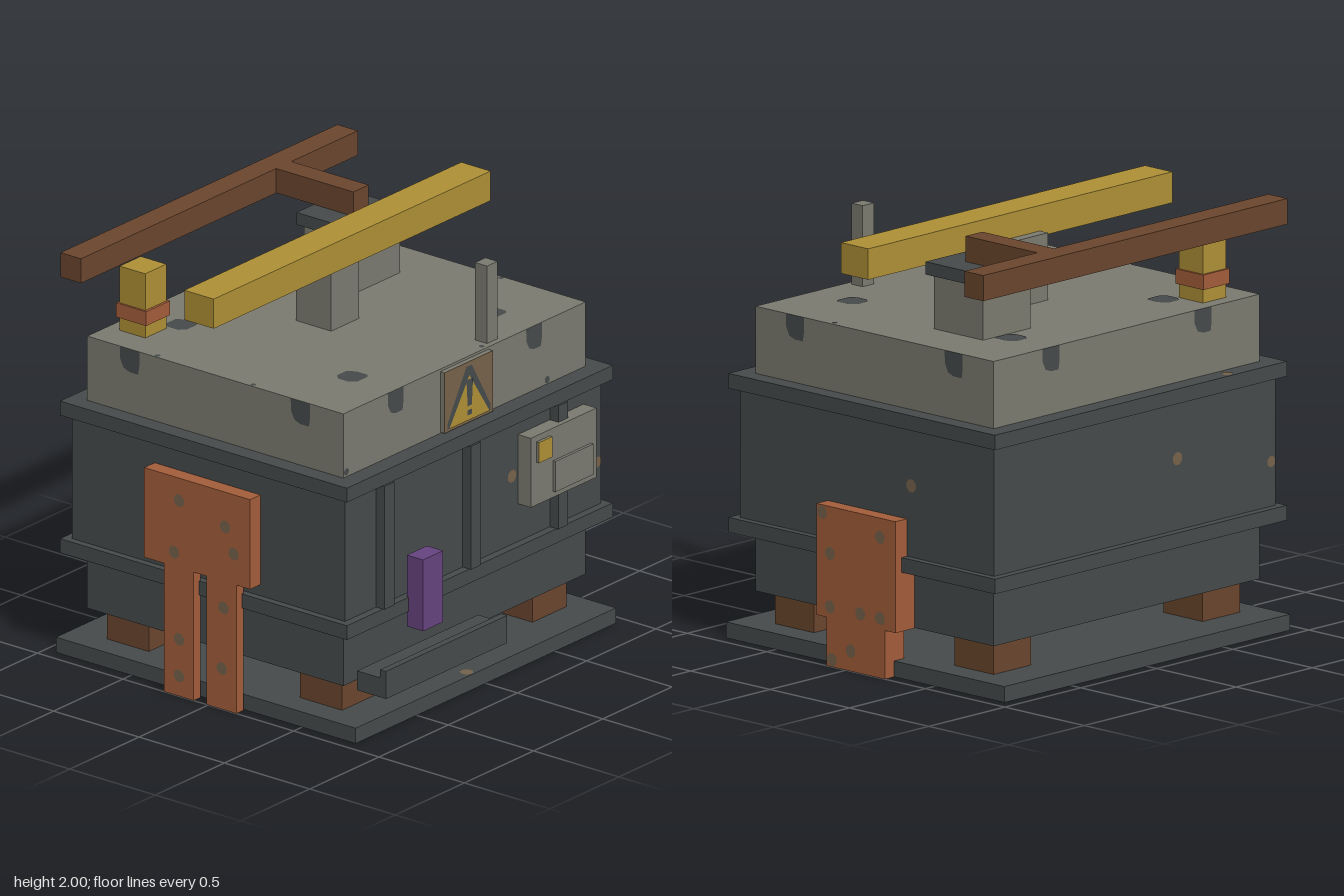
import * as THREE from 'three';

const mat = (name, color) => {
  const m = new THREE.MeshStandardMaterial({ color });
  m.name = name;
  return m;
};

export function createModel() {
  const model = new THREE.Group();
  model.name = 'transformerUnit';
  const dark = mat('darkSteel', 0x454a4a);
  const grey = mat('paleMetal', 0x7a7a70);
  const yellow = mat('yellowPaint', 0xad8f35);
  const brown = mat('brownWood', 0x6a452d);
  const orange = mat('rustOrange', 0xa35d3a);
  const purple = mat('purplePaint', 0x66437f);
  const stain = mat('rustStain', 0x75624a);

  // Box given by its min and max on each axis
  const box = (name, m, x0, x1, y0, y1, z0, z1) => {
    const mesh = new THREE.Mesh(new THREE.BoxGeometry(x1 - x0, y1 - y0, z1 - z0), m);
    mesh.position.set((x0 + x1) / 2, (y0 + y1) / 2, (z0 + z1) / 2);
    mesh.name = name;
    model.add(mesh);
    return mesh;
  };

  // Flat outline laid on a face; [rx, ry] turns it from +z to that side
  const SIDES = {
    front: [0, 0], back: [0, Math.PI], right: [0, Math.PI / 2],
    left: [0, -Math.PI / 2], top: [-Math.PI / 2, 0],
  };
  const decal = (name, m, side, pts, x, y, z) => {
    const shape = new THREE.Shape(pts.map(([a, b]) => new THREE.Vector2(a, b)));
    const mesh = new THREE.Mesh(new THREE.ShapeGeometry(shape), m);
    mesh.rotation.set(SIDES[side][0], SIDES[side][1], 0);
    mesh.position.set(x, y, z);
    mesh.name = name;
    model.add(mesh);
  };
  const octagon = (r) => Array.from({ length: 8 }, (_, i) => {
    const a = (i + 0.5) * Math.PI / 4;
    return [r * Math.cos(a), r * Math.sin(a)];
  });

  // Base and feet
  box('baseSlab', dark, -0.94, 0.94, 0, 0.075, -0.94, 0.815);
  for (const s of [-1, 1]) {
    for (const z of [0.507, -0.625]) {
      box('foot', brown, s * 0.6875 - 0.1225, s * 0.6875 + 0.1225, 0.075, 0.23, z - 0.123, z + 0.123);
    }
  }

  // Main body with flanges
  box('lowerBody', dark, -0.875, 0.875, 0.23, 0.505, -0.81, 0.69);
  box('lowerFlange', dark, -0.96, 0.96, 0.505, 0.575, -0.9, 0.78);
  box('middleBody', dark, -0.925, 0.925, 0.575, 1.18, -0.86, 0.74);
  box('upperFlange', dark, -0.96, 0.96, 1.18, 1.25, -0.9, 0.78);
  box('topBlock', grey, -0.875, 0.875, 1.25, 1.565, -0.81, 0.69);
  for (const x of [-0.665, -0.04, 0.59]) {
    box('frontRib', dark, x - 0.035, x + 0.035, 0.575, 1.18, 0.74, 0.79);
  }

  // Front tray, canister and control panel
  box('trayFloor', dark, -0.875, 0, 0.23, 0.325, 0.77, 0.94);
  box('trayLip', dark, -0.875, 0, 0.325, 0.365, 0.905, 0.94);
  box('canister', purple, -0.515, -0.37, 0.43, 0.78, 0.77, 0.865);
  box('controlPanel', grey, 0.325, 0.8, 0.76, 1.1, 0.74, 0.815);
  box('panelDoor', grey, 0.485, 0.76, 0.79, 0.94, 0.815, 0.83);
  box('panelButton', grey, 0.365, 0.46, 0.97, 1.07, 0.815, 0.827);
  box('buttonFace', yellow, 0.365, 0.46, 0.97, 1.07, 0.827, 0.831);

  // Warning sign
  box('signBoard', grey, -0.175, 0.175, 1.255, 1.553, 0.69, 0.712);
  box('signFace', stain, -0.175, 0.175, 1.255, 1.553, 0.712, 0.715);
  decal('signBorder', dark, 'front', [[-0.155, 0], [0.155, 0], [0.155, 0.03], [0.02, 0.265], [-0.02, 0.265], [-0.155, 0.03]], 0, 1.268, 0.717);
  decal('signTriangle', yellow, 'front', [[-0.145, 0], [0.145, 0], [0, 0.22]], 0, 1.269, 0.719);
  decal('signMark', dark, 'front', [[-0.015, 0], [0.015, 0], [0.024, 0.13], [-0.024, 0.13]], 0, 1.34, 0.721);
  decal('signDot', dark, 'front', [[-0.017, 0], [0.017, 0], [0.017, 0.025], [-0.017, 0.025]], 0, 1.295, 0.721);

  // Roof fittings and overhead beams
  box('thinPost', grey, 0.2, 0.275, 1.565, 1.945, 0.59, 0.66);
  box('middlePillar', grey, -0.13, 0.07, 1.565, 1.88, -0.19, 0.015);
  box('rearPillar', grey, 0.31, 0.62, 1.565, 1.82, -0.5, -0.19);
  box('pillarCap', dark, 0.285, 0.647, 1.82, 1.88, -0.525, -0.163);
  box('yellowBeam', yellow, -1, 1, 1.855, 2, -0.14, 0.032);
  box('brownBeam', brown, -1, 1, 1.88, 2, -0.865, -0.745);
  box('beamArm', brown, 0.41, 0.52, 1.88, 2, -0.745, -0.293);
  box('yellowPost', yellow, -0.727, -0.575, 1.565, 1.88, -0.74, -0.59);
  box('postCollar', orange, -0.737, -0.565, 1.63, 1.7, -0.752, -0.577);

  // Rusty side plates
  box('leftPlateTop', orange, 0.925, 1, 0.505, 0.75, -0.312, 0.187);
  box('leftPlateMiddle', orange, 0.875, 1, 0.228, 0.505, -0.312, 0.187);
  box('leftPlateFoot', orange, 0.875, 1, 0, 0.228, -0.245, 0.122);
  box('rightPlateTop', orange, -1, -0.925, 0.63, 1.07, -0.375, 0.245);
  box('rightPlateLeg', orange, -1, -0.95, 0, 0.63, -0.26, -0.085);
  box('rightPlateLeg', orange, -1, -0.95, 0, 0.63, -0.01, 0.165);

  // Stains on the plates: z, y
  const spot = octagon(0.032);
  for (const [z, y] of [[0.15, 0.715], [-0.215, 0.66], [0.1, 0.53], [0.1, 0.28], [-0.09, 0.28],
    [-0.215, 0.28], [-0.03, 0.095], [0.088, 0.034]]) {
    decal('plateStain', stain, 'right', spot, 1.0015, y, z);
  }
  for (const [z, y] of [[-0.17, 0.96], [0.1, 0.9], [0.15, 0.78], [-0.2, 0.7], [0.09, 0.5],
    [-0.17, 0.28], [-0.17, 0.1], [0.08, 0.2]]) {
    decal('plateStain', stain, 'left', spot, -1.0015, y, z);
  }
  decal('plateStain', stain, 'front', octagon(0.03), 0.968, 0.22, 0.1235);

  // Stains on the body
  decal('bodyStain', stain, 'front', spot, 0.28, 0.91, 0.742);
  decal('bodyStain', stain, 'front', octagon(0.027), 0.897, 0.785, 0.742);
  decal('bodyStain', stain, 'back', spot, -0.28, 0.91, -0.862);
  decal('bodyStain', stain, 'back', octagon(0.027), -0.897, 0.785, -0.862);
  decal('bodyStain', stain, 'right', spot, 0.927, 0.91, -0.34);
  decal('baseStain', stain, 'top', spot, -0.095, 0.077, 0.78);
  decal('flangeStain', stain, 'top', octagon(0.03), -0.6, 1.252, -0.868);

  // Chipped paint on the top block
  const chip = [[-0.057, 0], [-0.055, -0.06], [-0.035, -0.1], [0, -0.113], [0.05, -0.113], [0.057, -0.07], [0.057, 0]];
  const patch = [[-0.06, 0.03], [-0.035, 0.06], [0.035, 0.06], [0.06, 0.02], [0.06, -0.045], [0.04, -0.06], [-0.035, -0.06], [-0.06, -0.03]];
  for (const s of [-0.5, 0.5]) {
    decal('frontChip', dark, 'front', chip, s, 1.565, 0.692);
    decal('backChip', dark, 'back', chip, s, 1.565, -0.812);
    decal('leftChip', dark, 'right', chip, 0.877, 1.565, s - 0.06);
    decal('rightChip', dark, 'left', chip, -0.877, 1.565, s - 0.06);
    for (const z of [-0.565, 0.435]) decal('roofChip', dark, 'top', patch, s, 1.567, z);
  }
  const small = octagon(0.018);
  decal('smallChip', dark, 'front', small, -0.855, 1.275, 0.692);
  decal('smallChip', dark, 'front', small, 0.595, 1.272, 0.692);
  for (const [x, z] of [[-0.86, -0.41], [-0.86, 0.15], [0.855, 0.21], [0.155, 0.665]]) {
    decal('roofSpeck', dark, 'top', octagon(0.014), x, 1.567, z);
  }
  return model;
}
